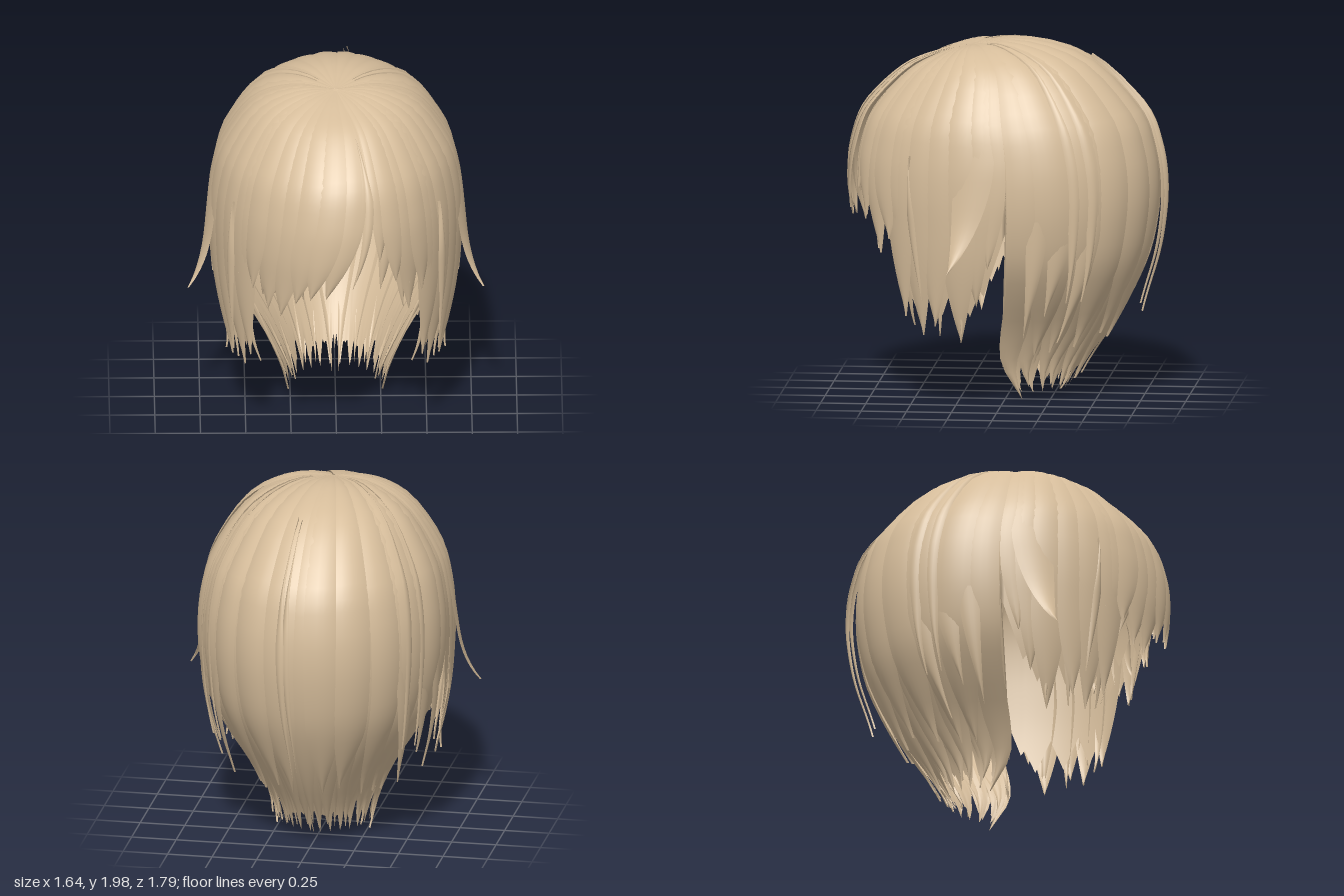
import * as THREE from 'three';

const hairMat = new THREE.MeshStandardMaterial({ color: 0xd6bd9b, side: THREE.DoubleSide });
hairMat.name = 'sandy hair';

// Meridian curves from the crown down; below y = 1.6 row r lies at y = (11 - r) / 5
const curve = pts => new THREE.CatmullRomCurve3(pts.map(p => new THREE.Vector3(...p)), false, 'catmullrom', 0.5);
const lowY = [1.6, 1.4, 1.2, 1, 0.8, 0.6, 0.4, 0.2, 0];
const lower = (xs, zs) => lowY.map((y, i) => [xs[i], y, zs[i]]);
const none = lowY.map(() => 0);
const FRONT = curve([[0, 1.955, 0.2], [0, 1.9, 0.38], [0, 1.805, 0.57],
  ...lower(none, [0.76, 0.835, 0.855, 0.84, 0.82, 0.8, 0.78, 0.75, 0.72])]);
const BACK = curve([[0, 1.955, 0.2], [0, 1.98, -0.1], [0, 1.87, -0.44],
  ...lower(none, [-0.7, -0.78, -0.805, -0.79, -0.745, -0.66, -0.55, -0.42, -0.31])]);
const crownSide = [[0, 1.955, 0.2], [0.23, 1.95, 0.14], [0.45, 1.84, 0.07]];
const SIDE = curve([...crownSide,
  ...lower([0.61, 0.668, 0.685, 0.68, 0.665, 0.635, 0.595, 0.57, 0.54], [0.04, 0.01, 0, 0, 0, 0, 0, 0, 0])]);
const NAPE = curve([...crownSide,
  ...lower([0.61, 0.668, 0.685, 0.67, 0.62, 0.515, 0.39, 0.3, 0.26], [0.04, 0.01, 0, 0, 0, 0.01, 0.04, 0.05, -0.06])]);

const rad = THREE.MathUtils.degToRad;
const rowAt = y => 11 - 5 * y;

// Point on the head of hair: angle (0 = front, 90 = left), row, outward offset
function surface(deg, row, out, nape) {
  const s = Math.sin(rad(deg)), c = Math.cos(rad(deg));
  const u = THREE.MathUtils.clamp(row / 11, 0, 1);
  const S = (nape ? NAPE : SIDE).getPoint(u), E = (c > 0 ? FRONT : BACK).getPoint(u);
  const p = new THREE.Vector3(s * S.x, s * s * S.y + c * c * E.y, S.z + Math.abs(c) * (E.z - S.z));
  const dir = new THREE.Vector3(p.x, Math.max(p.y - 1.1, 0), p.z).normalize();
  return p.addScaledVector(dir, out);
}

function sheet(rows, cols, fn) {
  const pos = [], idx = [];
  for (let r = 0; r <= rows; r++)
    for (let c = 0; c <= cols; c++) {
      pos.push(...fn(r / rows, c / cols).toArray());
      if (r < rows && c < cols) {
        const a = r * (cols + 1) + c, b = a + cols + 1;
        idx.push(a, b, a + 1, b, b + 1, a + 1);
      }
    }
  const g = new THREE.BufferGeometry();
  g.setAttribute('position', new THREE.Float32BufferAttribute(pos, 3));
  g.setIndex(idx);
  g.computeVertexNormals();
  return g;
}

// Lock of hair tapering to a point at height y; root 0 starts from a point as well
function lock({ a, w, y, from = 0.1, sweep = 0, bend = 0, lift = 0.01, kick = 0, tilt = 0.008, bulge = 0.01, nape = false, taper = 0.7, root = 1 }) {
  const end = rowAt(y);
  return sheet(28, 6, (t, k) => {
    const row = from + (end - from) * t, s = k * 2 - 1;
    const tip = Math.max(0, (t - taper) / (1 - taper));
    const width = w * (1 - Math.pow(tip, 1.7)) * (root + (1 - root) * Math.min(1, t * 2.5));
    const deg = a + sweep * t * t + bend * Math.sin(Math.PI * t) + s * width / 2;
    const grow = Math.min(1, row / 3);
    const out = grow * (lift + tilt * s * (1 - tip) + bulge * (1 - s * s)) + kick * Math.pow(t, 7);
    return surface(deg, row, out, nape);
  });
}

export function createModel() {
  const model = new THREE.Group();
  model.name = 'hair';
  let seed = 7;
  const rnd = () => (seed = (seed * 16807) % 2147483647) / 2147483647;
  const vary = n => (rnd() - 0.5) * 2 * n;

  const group = name => {
    const g = new THREE.Group();
    g.name = name;
    model.add(g);
    return g;
  };
  const add = (g, name, opts) => {
    const m = new THREE.Mesh(lock(opts), hairMat);
    m.name = name;
    g.add(m);
  };
  const both = (g, name, o) => {
    add(g, name + 'Left', o);
    add(g, name + 'Right', { ...o, a: -o.a, sweep: -(o.sweep || 0), bend: -(o.bend || 0), tilt: -(o.tilt ?? 0.008) });
  };

  // Under layer with a toothed hem, open at the parting and behind the ears
  const hem = deg => {
    const d = Math.abs(deg), tooth = Math.abs(((d / 12) % 1) * 2 - 1);
    if (deg > 3 && deg < 21) return 1.5;
    if (d < 47) return 1.1 + 0.16 * tooth;
    if (d < 83) return 0.52 + 0.2 * tooth;
    if (d < 94) return 0.6 + (d - 83) * 0.04;
    return 0.05 + (0.17 + 0.06 * Math.sin(d)) * tooth;
  };
  const cap = new THREE.Mesh(sheet(40, 240, (t, k) => {
    const deg = -180 + 360 * k;
    return surface(deg, rowAt(hem(deg)) * t, -0.01 * Math.min(1, t * 4), Math.abs(deg) > 93);
  }), hairMat);
  cap.name = 'underCap';
  model.add(cap);

  // Long nape locks, tucked in towards the neck
  const nape = group('napeHair');
  for (let i = 0; i < 8; i++)
    both(nape, 'napeLock', { a: 101 + i * 10.4, w: 14, y: 0.01 + 0.1 * rnd(), nape: true, lift: 0.002 + 0.006 * rnd(),
      sweep: vary(5), taper: 0.82, kick: vary(0.02) });
  for (let i = 0; i < 6; i++)
    both(nape, 'napeWisp', { a: 104 + i * 13, w: 10, y: 0.01 + 0.12 * rnd(), from: 5, nape: true, root: 0,
      lift: -0.014, sweep: vary(8), taper: 0.6, kick: vary(0.04) });

  // Outer back layer, ending in steps
  const back = group('backHair');
  for (let i = 0; i < 5; i++)
    both(back, 'backLock', { a: 109 + i * 15, w: 18 + vary(3), y: 0.2 + 0.2 * rnd(), nape: true, lift: 0.008 + 0.012 * rnd(),
      sweep: vary(5), taper: 0.74, bulge: 0.014, kick: 0.03 * rnd() });
  add(back, 'backCentreLock', { a: 180, w: 16, y: 0.12, nape: true, lift: 0.016 });
  for (const [a, w, y] of [[107, 9, 0.4], [117, 12, 0.52], [130, 10, 0.36]])
    both(back, 'backSideLock', { a, w, y, lift: 0.008, taper: 0.6, sweep: -3, kick: -0.03 });

  // Side locks over the ears
  const side = group('sideHair');
  for (const [a, w, y, sweep] of [[47, 13, 0.5, 2], [56, 14, 0.4, 1], [65, 14, 0.46, -1], [75, 14, 0.37, -1],
    [82, 12, 0.58, -1]])
    both(side, 'sideLock', { a, w, y, sweep, lift: 0.003 + 0.009 * rnd(), kick: vary(0.02) });
  both(side, 'earLock', { a: 89, w: 11, y: 0.8, sweep: -3, lift: 0.008 });
  for (let i = 0; i < 4; i++)
    both(side, 'sideWisp', { a: 51 + i * 7, w: 6, y: 0.38 + 0.15 * rnd(), from: 4.5, root: 0, sweep: vary(4),
      lift: -0.014, kick: vary(0.05), taper: 0.45 });
  // Flicked-out locks
  both(side, 'flick', { a: 85, w: 15, y: 0.79, sweep: -10, lift: 0.008, kick: 0.17, taper: 0.6 });
  both(side, 'templeStrand', { a: 55, w: 4, y: 0.6, from: 4, sweep: 4, lift: 0.025, taper: 0.4, root: 0 });

  // Fringe, parted a little to the left: [angle, width, tip height, sweep, bend, lift]
  const fringe = group('fringe');
  const bangs = [
    [-50, 15, 0.85, -1, 0, 0.005], [-41, 15, 0.95, -1, 0, 0.012], [-32, 15, 0.85, -2, 1, 0.006], [-22, 16, 0.83, -5, 2, 0.014],
    [-13, 15, 0.93, -6, 3, 0.03], [-5, 15, 0.97, -7, 4, 0.04], [3, 13, 0.98, -8, 5, 0.035], [6, 10, 1.03, -8, 6, 0.025],
    [19, 9, 1.18, 1, 2, 0.006], [26, 13, 1.04, 2, 1, 0.012], [34, 13, 0.84, 2, 0, 0.005], [42, 14, 0.93, 1, 0, 0.012], [50, 15, 0.84, 1, 0, 0.006],
  ];
  for (const [a, w, y, sweep, bend, lift] of bangs)
    add(fringe, 'bang', { a, w, y, sweep, bend, lift, tilt: a < 12 ? 0.008 : -0.008 });
  for (const a of [-54, -46, -36, -28, -18, -9, 24, 30, 39, 47, 55])
    add(fringe, 'fringeWisp', { a, w: 6, y: 0.86 + 0.16 * rnd(), from: 3.6, root: 0, sweep: vary(4), lift: -0.014, kick: vary(0.03), taper: 0.5 });
  // Lock crossing the parting
  add(fringe, 'partingStrand', { a: 12, w: 5, y: 1.04, from: 1.8, sweep: -5, bend: 4, lift: 0.03, taper: 0.4, root: 0 });

  // Loose strands standing off the surface
  const loose = group('looseStrands');
  for (const [a, y, lift, kick] of [[172, 0.48, 0.08, 0.06], [174, 0.52, 0.055, 0.05]])
    add(loose, 'backStrand', { a, w: 4, y, from: 2, lift, kick, nape: true, taper: 0.3, sweep: 3, root: 0 });
  for (const a of [118, 126])
    both(loose, 'sideStrand', { a, w: 5, y: 0.6, from: 0.5, lift: 0.026, taper: 0.5, sweep: 4, tilt: 0.014, root: 0 });

  return model;
}
